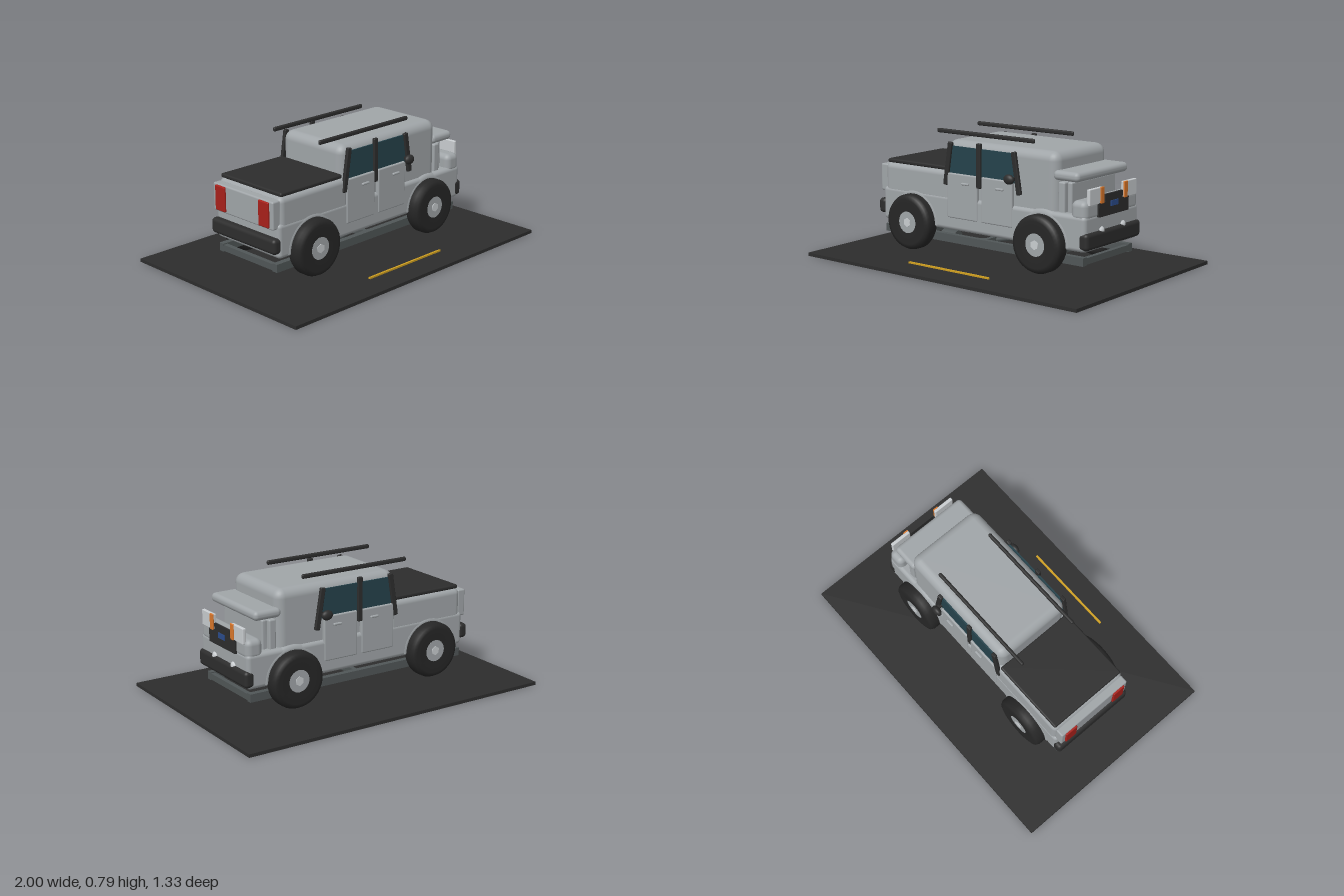
import * as THREE from 'three';
import { RoundedBoxGeometry } from 'three/addons/geometries/RoundedBoxGeometry.js';

export function createModel() {
  const model = new THREE.Group();
  model.name = 'pickupOnBase';

  const mat = (name, color) => {
    const m = new THREE.MeshStandardMaterial({ color });
    m.name = name;
    return m;
  };
  const paint = mat('greyPaint', 0xa0a5a8);
  const black = mat('blackTrim', 0x2d2d2d);
  const rubber = mat('rubber', 0x262626);
  const glass = mat('tintedGlass', 0x25424b);
  const steel = mat('chassisSteel', 0x505657);
  const silver = mat('silver', 0xc9cdd0);
  const orange = mat('orangeLamp', 0xd9772b);
  const red = mat('redLamp', 0xa8201a);
  const blue = mat('blueBadge', 0x2b4c8c);
  const yellow = mat('yellowLine', 0xd0a020);

  const add = (name, geo, material, x = 0, y = 0, z = 0) => {
    const m = new THREE.Mesh(geo, material);
    m.name = name;
    m.position.set(x, y, z);
    model.add(m);
    return m;
  };
  // box given by its limits on each axis, optionally rounded
  const box = (name, material, [x0, x1], [y0, y1], [z0, z1], r = 0) => {
    const s = [x1 - x0, y1 - y0, z1 - z0];
    const geo = r ? new RoundedBoxGeometry(...s, 3, Math.min(r, Math.min(...s) * 0.49))
      : new THREE.BoxGeometry(...s);
    return add(name, geo, material, (x0 + x1) / 2, (y0 + y1) / 2, (z0 + z1) / 2);
  };
  const wide = (h) => [-h, h];
  // limits on the given side, ordered low to high
  const onSide = (s, a, b) => (s > 0 ? [a, b] : [-b, -a]);

  // base plate and ground line
  box('basePlate', black, [-1, 1], [0, 0.02], wide(0.665));
  box('groundLine', yellow, [-0.3, 0.3], [0.035, 0.045], [0.515, 0.527]);

  // main body volumes
  box('lowerBody', paint, [-0.745, 0.765], [0.2, 0.405], wide(0.265), 0.025);
  box('bed', paint, [-0.73, -0.2], [0.36, 0.555], wide(0.262), 0.035);
  box('bedCover', black, [-0.715, -0.245], [0.553, 0.578], wide(0.252), 0.01);
  box('cab', paint, [-0.248, 0.56], [0.21, 0.738], wide(0.248), 0.055);
  box('visor', paint, [0.53, 0.705], [0.583, 0.638], wide(0.25), 0.025);
  box('innerFrontPanel', paint, [0.56, 0.605], [0.39, 0.575], wide(0.235), 0.01);
  box('outerFrontPanel', paint, [0.608, 0.64], [0.39, 0.575], wide(0.215), 0.01);
  box('nose', paint, [0.66, 0.765], [0.37, 0.487], wide(0.262), 0.035);
  box('tailgate', paint, [-0.775, -0.72], [0.375, 0.54], wide(0.25), 0.01);

  // bumpers, grille and badge
  box('frontBumper', black, [0.72, 0.783], [0.212, 0.31], wide(0.268), 0.022);
  box('rearBumper', black, [-0.785, -0.727], [0.235, 0.326], wide(0.268), 0.022);
  box('grille', black, [0.762, 0.776], [0.385, 0.465], wide(0.146));
  box('grilleTop', black, [0.762, 0.775], [0.46, 0.507], wide(0.086));
  box('badge', blue, [0.774, 0.781], [0.434, 0.465], wide(0.036));

  // chassis crossbars, driveshaft and exhaust
  for (const x of [-0.73, -0.49, 0, 0.47, 0.725]) {
    box('crossbar', steel, [x - 0.014, x + 0.014], [0.125, 0.162], wide(0.22));
  }
  const alongX = (name, x0, x1, y, z, r, material) => {
    const g = new THREE.CylinderGeometry(r, r, x1 - x0, 20).rotateZ(Math.PI / 2);
    return add(name, g, material, (x0 + x1) / 2, y, z);
  };
  alongX('driveshaft', -0.49, 0.47, 0.185, 0, 0.014, steel);
  alongX('muffler', -0.39, -0.28, 0.122, 0.105, 0.038, steel);
  const exhaustPath = new THREE.CatmullRomCurve3([
    new THREE.Vector3(-0.28, 0.118, 0.105),
    new THREE.Vector3(-0.1, 0.125, 0.105),
    new THREE.Vector3(0.1, 0.16, 0.08),
    new THREE.Vector3(0.25, 0.19, 0.04),
  ]);
  add('exhaustPipe', new THREE.TubeGeometry(exhaustPath, 20, 0.013, 10), steel);
  box('gearbox', blue, [-0.08, 0.1], [0.175, 0.205], wide(0.06));

  // tyre cross-section revolved around its axle
  const tyreProfile = [[0.06, -0.045], [0.135, -0.05], [0.158, -0.042], [0.168, -0.022],
    [0.168, 0.022], [0.158, 0.042], [0.135, 0.05], [0.06, 0.045]]
    .map(([r, h]) => new THREE.Vector2(r, h));
  const tyreGeo = new THREE.LatheGeometry(tyreProfile, 40).rotateX(Math.PI / 2);
  const disc = (r, d, n) => new THREE.CylinderGeometry(r, r, d, n).rotateX(Math.PI / 2);

  for (const s of [1, -1]) {
    // wheels, hubs and arches
    for (const x of [-0.492, 0.47]) {
      add('tyre', tyreGeo, rubber, x, 0.219, s * 0.282);
      add('rim', disc(0.066, 0.092, 32), paint, x, 0.219, s * 0.282);
      add('hubCap', disc(0.028, 0.1, 6), silver, x, 0.219, s * 0.282);
      add('wheelArch', new THREE.TorusGeometry(0.172, 0.03, 10, 28, Math.PI), paint, x, 0.215, s * 0.238);
    }
    for (const x of [-0.492, 0.47]) add('axleEnd', disc(0.022, 0.26, 14), steel, x, 0.219, s * 0.13);

    box('chassisRail', steel, [-0.745, 0.74], [0.12, 0.168], onSide(s, 0.208, 0.243));
    box('roofBar', black, [-0.365, 0.36], [0.762, 0.788], onSide(s, 0.177, 0.197), 0.009);

    // doors, windows and handles
    for (const [x0, x1, hx] of [[-0.224, 0.004, -0.08], [0.035, 0.262, 0.177]]) {
      box('door', paint, [x0, x1], [0.277, 0.545], onSide(s, 0.23, 0.27), 0.008);
      box('doorHandle', paint, [hx - 0.028, hx + 0.028], [0.484, 0.498], onSide(s, 0.268, 0.284), 0.006);
    }
    const pane = new THREE.Shape([[-0.235, 0.535], [0.29, 0.535], [0.265, 0.705], [-0.205, 0.705]]
      .map(([x, y]) => new THREE.Vector2(x, y)));
    add('sideWindow', new THREE.ExtrudeGeometry(pane, { depth: 0.009, bevelEnabled: false }),
      glass, 0, 0, s > 0 ? 0.249 : -0.258);

    // dark pillars, from lower to upper end
    for (const [xa, ya, xb, yb] of [[-0.24, 0.47, -0.2, 0.727], [0.014, 0.475, 0.014, 0.738], [0.308, 0.472, 0.267, 0.715]]) {
      const g = new RoundedBoxGeometry(0.032, Math.hypot(xb - xa, yb - ya), 0.022, 2, 0.006);
      const p = add('pillar', g, black, (xa + xb) / 2, (ya + yb) / 2, s * 0.26);
      p.rotation.z = -Math.atan2(xb - xa, yb - ya);
    }

    // mirror
    const mirror = add('mirror', new THREE.SphereGeometry(1, 20, 14), black, 0.264, 0.562, s * 0.3);
    mirror.scale.set(0.036, 0.029, 0.021);
    box('mirrorArm', black, [0.265, 0.285], [0.553, 0.57], onSide(s, 0.25, 0.295));

    // lamps
    box('headlamp', silver, [0.752, 0.773], [0.46, 0.553], onSide(s, 0.1, 0.232), 0.005);
    box('indicator', orange, [0.768, 0.779], [0.46, 0.554], onSide(s, 0.099, 0.133), 0.004);
    box('tailLamp', red, [-0.786, -0.76], [0.385, 0.533], onSide(s, 0.14, 0.222), 0.006);
    add('fogLamp', new THREE.SphereGeometry(0.03, 18, 12), silver, 0.75, 0.303, s * 0.105);
  }
  return model;
}
